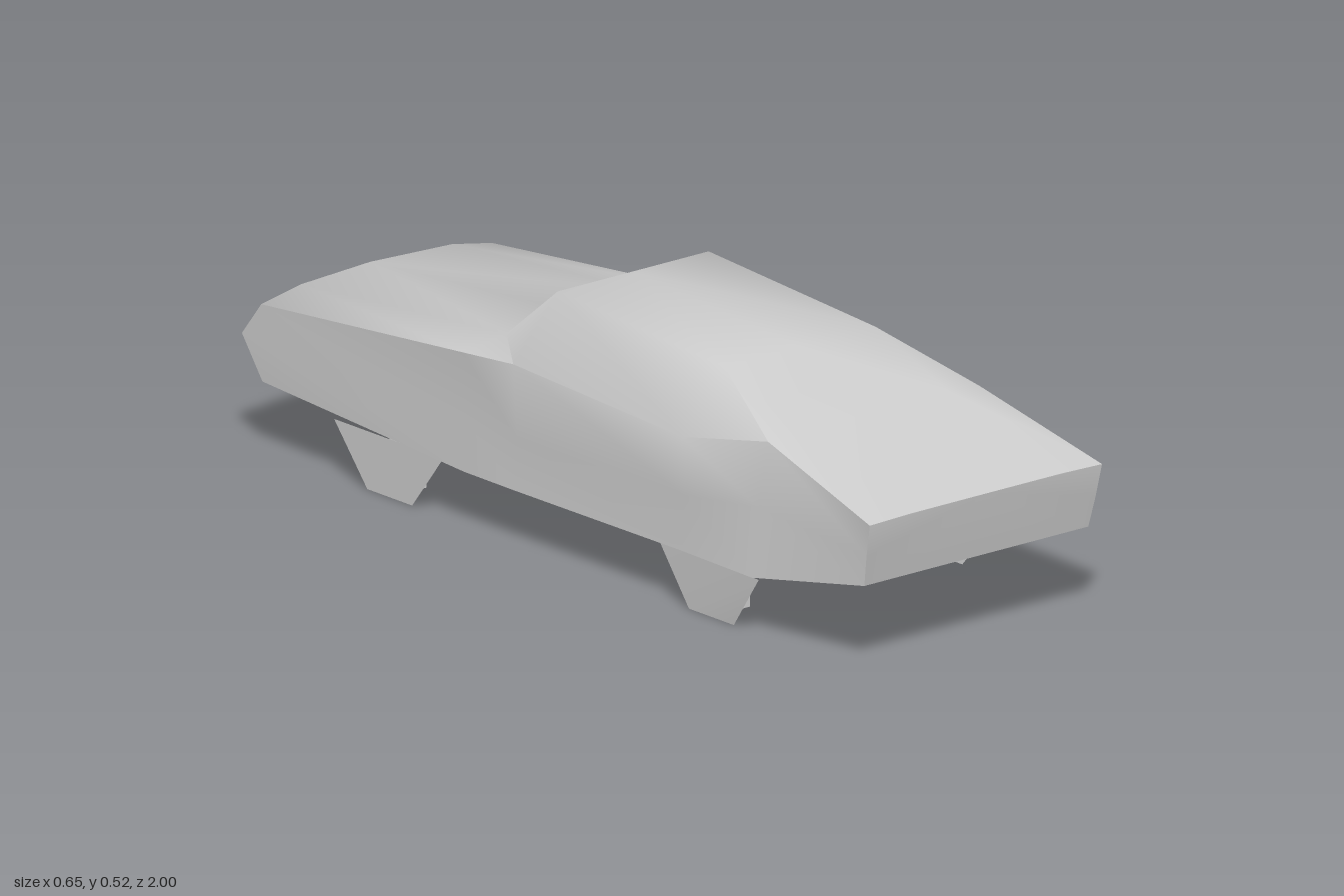
import * as THREE from 'three';
import { toCreasedNormals } from 'three/addons/utils/BufferGeometryUtils.js';

const paint = new THREE.MeshStandardMaterial({ color: 0xcccccc, side: THREE.DoubleSide });
paint.name = 'grey paint';

// Half cross-section: roof centre, roof edge, shoulder, belt, sill, floor edge, floor centre
const section = (z, roofY, shoulder, belt, sill, floorY, edgeX = 0.2) => [
  [0, roofY, z], [edgeX, roofY, z], [...shoulder, z], [...belt, z], [...sill, z], [0.2, floorY, z], [0, floorY, z],
];

function bodyGeometry() {
  // Nose leans back slightly at its lower edge
  const nose = section(1, 0.323, [0.308, 0.32], [0.304, 0.25], [0.297, 0.182], 0.182);
  nose[3][2] = 0.985;
  for (const i of [4, 5, 6]) nose[i][2] = 0.97;
  // Tail closes on a shallow V-shaped ridge
  const ridge = [[0, 0.24, -1], [0.2, 0.24, -0.975], [0.308, 0.24, -0.958]];
  const tail = [0, 1, 2, 2, 2, 1, 0].map((i) => ridge[i]);
  const deckEnd = section(-0.9, 0.335, [0.306, 0.315], [0.308, 0.24], [0.303, 0.15], 0.147);
  deckEnd[0][2] = -0.92;
  deckEnd[6][2] = -0.94;
  const sections = [
    nose,
    section(0.65, 0.41, [0.28, 0.405], [0.305, 0.27], [0.323, 0.125], 0.122),
    section(0.42, 0.49, [0.313, 0.365], [0.308, 0.24], [0.312, 0.122], 0.12),
    section(-0.1, 0.52, [0.318, 0.39], [0.308, 0.23], [0.313, 0.12], 0.12),
    section(-0.26, 0.39, [0.316, 0.375], [0.308, 0.23], [0.312, 0.12], 0.12),
    deckEnd,
    tail,
  ];
  // Mirror each half into a full ring of twelve points
  const rings = sections.map((s) => [...s, ...s.slice(1, 6).reverse().map(([x, y, z]) => [-x, y, z])]);
  const n = 12;
  const index = [];
  for (let s = 0; s < rings.length - 1; s++) {
    for (let i = 0; i < n; i++) {
      const a = s * n + i, b = s * n + (i + 1) % n, c = a + n, d = b + n;
      // Split quads the same way on both sides
      if (i < 6) index.push(a, b, c, b, d, c);
      else index.push(a, b, d, a, d, c);
    }
  }
  // Nose panel
  for (let i = 1; i < n - 1; i++) index.push(0, i + 1, i);
  const g = new THREE.BufferGeometry();
  g.setAttribute('position', new THREE.Float32BufferAttribute(rings.flat(2), 3));
  g.setIndex(index);
  return toCreasedNormals(g, 1.1);
}

// Flat four-cornered panel
function panel(name, corners) {
  const g = new THREE.BufferGeometry();
  g.setAttribute('position', new THREE.Float32BufferAttribute(corners.flat(), 3));
  g.setIndex([0, 1, 2, 0, 2, 3]);
  g.computeVertexNormals();
  const m = new THREE.Mesh(g, paint);
  m.name = name;
  return m;
}

// Half-wheel: outer face plus a tread plate across its middle
function wheel(name, side, z, topX, bottomX) {
  const w = new THREE.Group();
  w.name = name;
  const face = [[topX, 0.125, z + 0.17], [bottomX, 0, z + 0.07], [bottomX, 0, z - 0.07], [0.3, 0.125, z - 0.17]];
  const tread = [[0.2, 0.125, z], [0.2, 0, z], [0.297, 0, z], [0.297, 0.125, z]];
  const mirror = (pts) => {
    const out = pts.map(([x, y, d]) => [x * side, y, d]);
    return side > 0 ? out : out.reverse();
  };
  w.add(panel('wheelFace', mirror(face).reverse()), panel('wheelTread', mirror(tread)));
  return w;
}

export function createModel() {
  const car = new THREE.Group();
  car.name = 'car';
  const body = new THREE.Mesh(bodyGeometry(), paint);
  body.name = 'body';
  car.add(body);
  for (const [label, side] of [['left', 1], ['right', -1]]) {
    car.add(wheel(label + 'FrontWheel', side, 0.5, 0.322, 0.303));
    car.add(wheel(label + 'RearWheel', side, -0.51, 0.3, 0.297));
  }
  return car;
}
